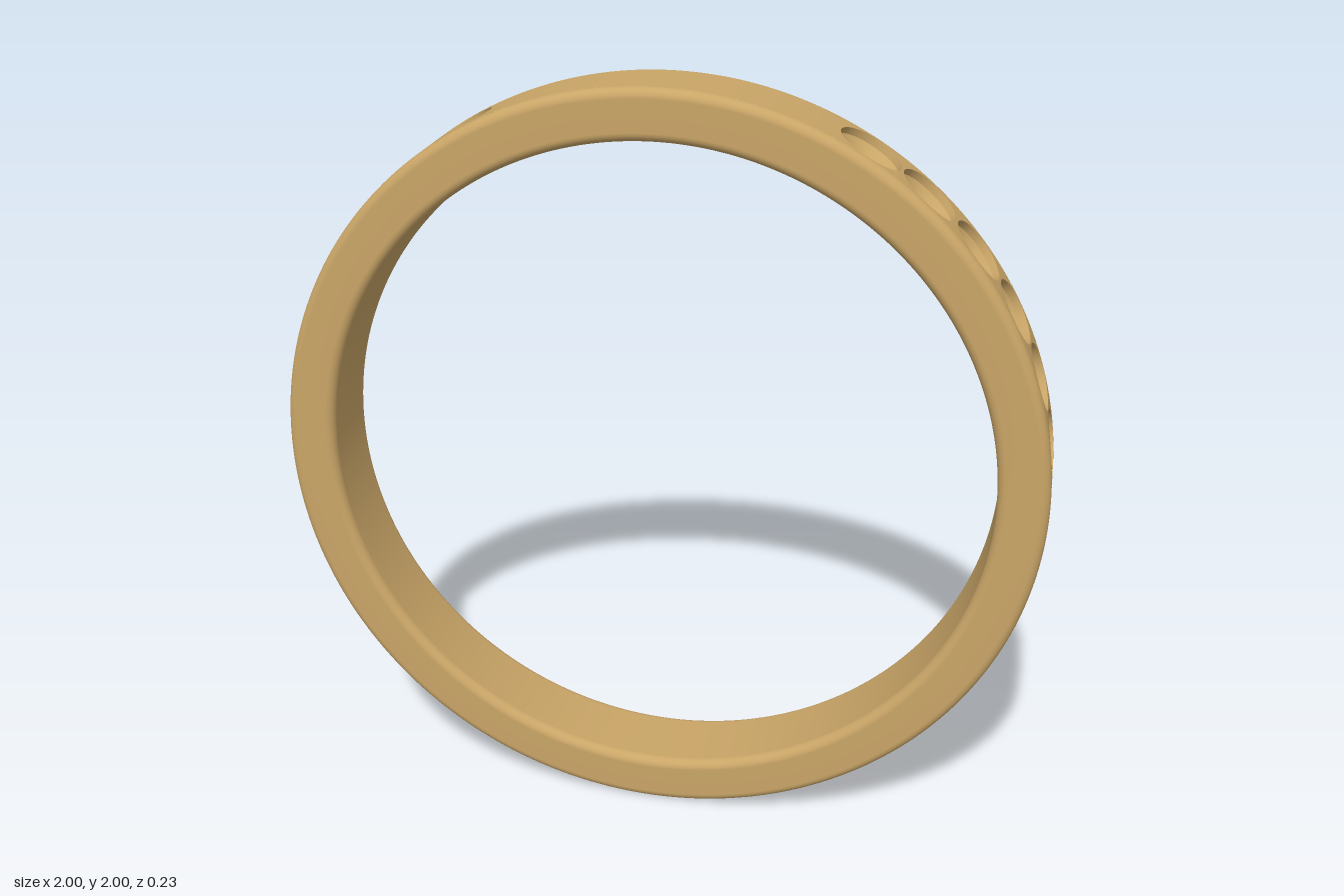
import * as THREE from 'three';

const OUTER = 1, INNER = 0.87, HALF = 0.115, FILLET = 0.025;
const FLAT = HALF - FILLET;              // half width of the flat outer band
const PIT_R = 0.085, WALL = 0.02, DEPTH = 0.085;
const STEP = THREE.MathUtils.degToRad(10.2);
const FIRST = THREE.MathUtils.degToRad(30.5); // first pit, measured from the top
const COUNT = 6, SIDES = 64;

// Lathe about z, with the angle running clockwise from the top
function ringLathe(points, segments, start = 0, length = Math.PI * 2) {
  return new THREE.LatheGeometry(points, segments, start, length).rotateX(-Math.PI / 2);
}

// Rounded section of the band: everything except the outer flat
function bandProfile() {
  const pts = [];
  const corners = [
    [OUTER - FILLET, FLAT, 0], [INNER + FILLET, FLAT, 1],
    [INNER + FILLET, -FLAT, 2], [OUTER - FILLET, -FLAT, 3],
  ];
  for (const [r, y, quarter] of corners) {
    for (let i = 0; i <= 8; i++) {
      const a = (quarter + i / 8) * Math.PI / 2;
      pts.push(new THREE.Vector2(r + FILLET * Math.cos(a), y + FILLET * Math.sin(a)));
    }
  }
  return pts;
}

// Piece of the outer surface with a round opening, facing local +y
function seatPlate() {
  const rows = 4, half = OUTER * Math.sin(STEP / 2);
  const pos = [], nor = [], idx = [];
  for (let j = 0; j <= rows; j++) {
    for (let i = 0; i <= SIDES; i++) {
      const a = i / SIDES * Math.PI * 2, c = Math.cos(a), s = Math.sin(a);
      const m = Math.max(Math.abs(c), Math.abs(s)), k = j / rows;
      const x = THREE.MathUtils.lerp(c * PIT_R, c / m * half, k);
      const z = THREE.MathUtils.lerp(s * PIT_R, s / m * FLAT, k);
      const y = Math.sqrt(OUTER * OUTER - x * x);
      pos.push(x, y, z);
      nor.push(x / OUTER, y / OUTER, 0);
      if (j < rows && i < SIDES) {
        const p = j * (SIDES + 1) + i, q = p + SIDES + 1;
        idx.push(p, p + 1, q, q, p + 1, q + 1);
      }
    }
  }
  const g = new THREE.BufferGeometry();
  g.setAttribute('position', new THREE.Float32BufferAttribute(pos, 3));
  g.setAttribute('normal', new THREE.Float32BufferAttribute(nor, 3));
  g.setIndex(idx);
  return g;
}

// Short straight wall whose top edge follows the curve of the band
function pitWall() {
  const g = new THREE.LatheGeometry([
    new THREE.Vector2(PIT_R, OUTER), new THREE.Vector2(PIT_R, OUTER - WALL),
  ], SIDES);
  const p = g.attributes.position;
  for (let i = 0; i < p.count; i++) {
    if (p.getY(i) > OUTER - WALL / 2) p.setY(i, Math.sqrt(OUTER * OUTER - p.getX(i) ** 2));
  }
  return g;
}

// Conical floor of a pit
function pitCone() {
  return new THREE.LatheGeometry([
    new THREE.Vector2(PIT_R, OUTER - WALL),
    new THREE.Vector2(PIT_R / 2, OUTER - (WALL + DEPTH) / 2),
    new THREE.Vector2(0, OUTER - DEPTH),
  ], SIDES);
}

export function createModel() {
  const model = new THREE.Group();
  model.name = 'ring';
  const gold = new THREE.MeshStandardMaterial({ color: 0xc9a567 });
  const add = (parent, geometry, name) => {
    const mesh = new THREE.Mesh(geometry, gold);
    mesh.name = name;
    parent.add(mesh);
  };

  const band = new THREE.Group();
  band.name = 'band';
  band.position.y = OUTER;
  model.add(band);
  add(band, ringLathe(bandProfile(), 240), 'bandBody');

  // Plain stretches of the outer surface, between the two rows of pits
  const flat = [new THREE.Vector2(OUTER, -FLAT), new THREE.Vector2(OUTER, FLAT)];
  const near = FIRST - STEP / 2, far = near + COUNT * STEP;
  add(band, ringLathe(flat, 40, -near, 2 * near), 'topOuterSurface');
  add(band, ringLathe(flat, 130, far, 2 * (Math.PI - far)), 'lowerOuterSurface');

  // Mirrored rows of stone seats
  const plate = seatPlate(), wall = pitWall(), cone = pitCone();
  for (const side of [1, -1]) {
    for (let i = 0; i < COUNT; i++) {
      const seat = new THREE.Group();
      seat.name = (side > 0 ? 'leftSeat' : 'rightSeat') + (i + 1);
      seat.rotation.z = -side * (FIRST + i * STEP);
      add(seat, plate, 'seatPlate');
      add(seat, wall, 'seatWall');
      add(seat, cone, 'seatCone');
      band.add(seat);
    }
  }
  return model;
}
